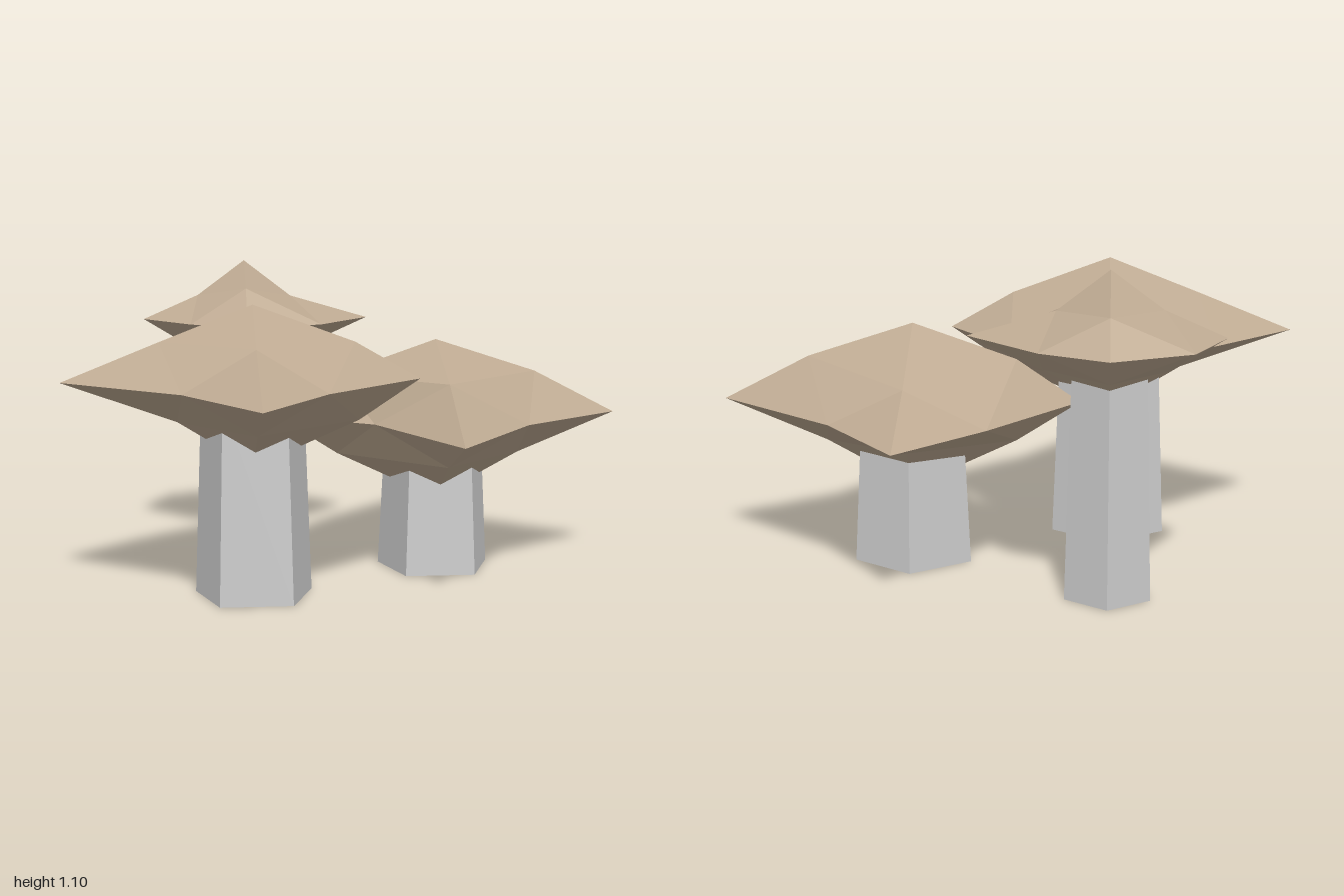
import * as THREE from 'three';

const capMaterial = new THREE.MeshStandardMaterial({ color: 0xbfab93, flatShading: true });
const stemMaterial = new THREE.MeshStandardMaterial({ color: 0xcccccc, flatShading: true });

// Faceted cap: a once-divided octahedron whose poles, rim and middle points are pulled to place.
// rim: 8 offsets [x, z] from +x turning towards +z; upper/lower: [radius, height] at +x, +z, -x, -z.
function makeCap({ top, bottom, rim, upper, lower }) {
  const geometry = new THREE.OctahedronGeometry(1, 1);
  const p = geometry.attributes.position;
  for (let i = 0; i < p.count; i++) {
    const x = p.getX(i), y = p.getY(i), z = p.getZ(i);
    const k = (Math.round(Math.atan2(z, x) / (Math.PI / 4)) + 8) % 8;
    if (Math.abs(y) > 0.9) {
      p.setXYZ(i, 0, y > 0 ? top : bottom, 0);
    } else if (Math.abs(y) > 0.3) {
      const [r, h] = (y > 0 ? upper : lower)[k / 2];
      p.setXYZ(i, r * Math.round(Math.cos(k * Math.PI / 4)), h, r * Math.round(Math.sin(k * Math.PI / 4)));
    } else {
      p.setXYZ(i, rim[k][0], 0, rim[k][1]);
    }
  }
  geometry.computeVertexNormals();
  const cap = new THREE.Mesh(geometry, capMaterial);
  cap.name = 'cap';
  return cap;
}

// Five-sided tapered stem, flat side forward, optionally hollowed underneath
function makeStem(bottomRadius, topRadius, height, hollow) {
  const base = hollow
    ? [[0, 0.08], [bottomRadius * 0.5, 0.08], [bottomRadius * 0.69, 0], [bottomRadius, 0]]
    : [[0, 0], [bottomRadius, 0]];
  const profile = [...base, [topRadius, height], [0, height]].map(([r, y]) => new THREE.Vector2(r, y));
  const stem = new THREE.Mesh(new THREE.LatheGeometry(profile, 5, Math.PI), stemMaterial);
  stem.name = 'stem';
  return stem;
}

const mushrooms = [
  {
    name: 'frontMushroom', x: -0.345, z: 0.22, rimY: 0.75, stem: [0.213, 0.186, 0.7, true],
    cap: {
      top: 0.26, bottom: -0.3,
      rim: [[0.575, 0], [0.235, 0.34], [0, 0.72], [-0.245, 0.32], [-0.655, 0], [-0.375, -0.3], [0, -0.63], [0.345, -0.35]],
      upper: [[0.35, 0.13], [0.28, 0.14], [0.32, 0.135], [0.37, 0.12]],
      lower: [[0.365, -0.14], [0.32, -0.14], [0.26, -0.14], [0.3, -0.14]],
    },
  },
  {
    name: 'sideMushroom', x: 0.335, z: -0.165, rimY: 0.565, stem: [0.213, 0.186, 0.52, true],
    cap: {
      top: 0.275, bottom: -0.31,
      rim: [[0.66, 0], [0.295, 0.285], [0, 0.74], [-0.245, 0.225], [-0.58, 0], [-0.28, -0.415], [0, -0.735], [0.25, -0.365]],
      upper: [[0.365, 0.155], [0.37, 0.16], [0.36, 0.15], [0.36, 0.12]],
      lower: [[0.305, -0.145], [0.36, -0.135], [0.36, -0.14], [0.27, -0.12]],
    },
  },
  {
    name: 'backMushroom', x: -0.345, z: -0.565, rimY: 0.88, stem: [0.15, 0.127, 0.84, false],
    cap: {
      top: 0.22, bottom: -0.22,
      rim: [[0.465, 0], [0.275, 0.245], [0, 0.345], [-0.205, 0.205], [-0.38, 0], [-0.265, -0.255], [0, -0.385], [0.225, -0.265]],
      upper: [[0.175, 0.085], [0.19, 0.13], [0.175, 0.09], [0.245, 0.11]],
      lower: [[0.22, -0.11], [0.18, -0.11], [0.2, -0.11], [0.19, -0.115]],
    },
  },
];

export function createModel() {
  const model = new THREE.Group();
  model.name = 'mushroomCluster';
  for (const m of mushrooms) {
    const mushroom = new THREE.Group();
    mushroom.name = m.name;
    const cap = makeCap(m.cap);
    cap.position.y = m.rimY;
    mushroom.add(makeStem(...m.stem), cap);
    mushroom.position.set(m.x, 0, m.z);
    model.add(mushroom);
  }
  return model;
}
